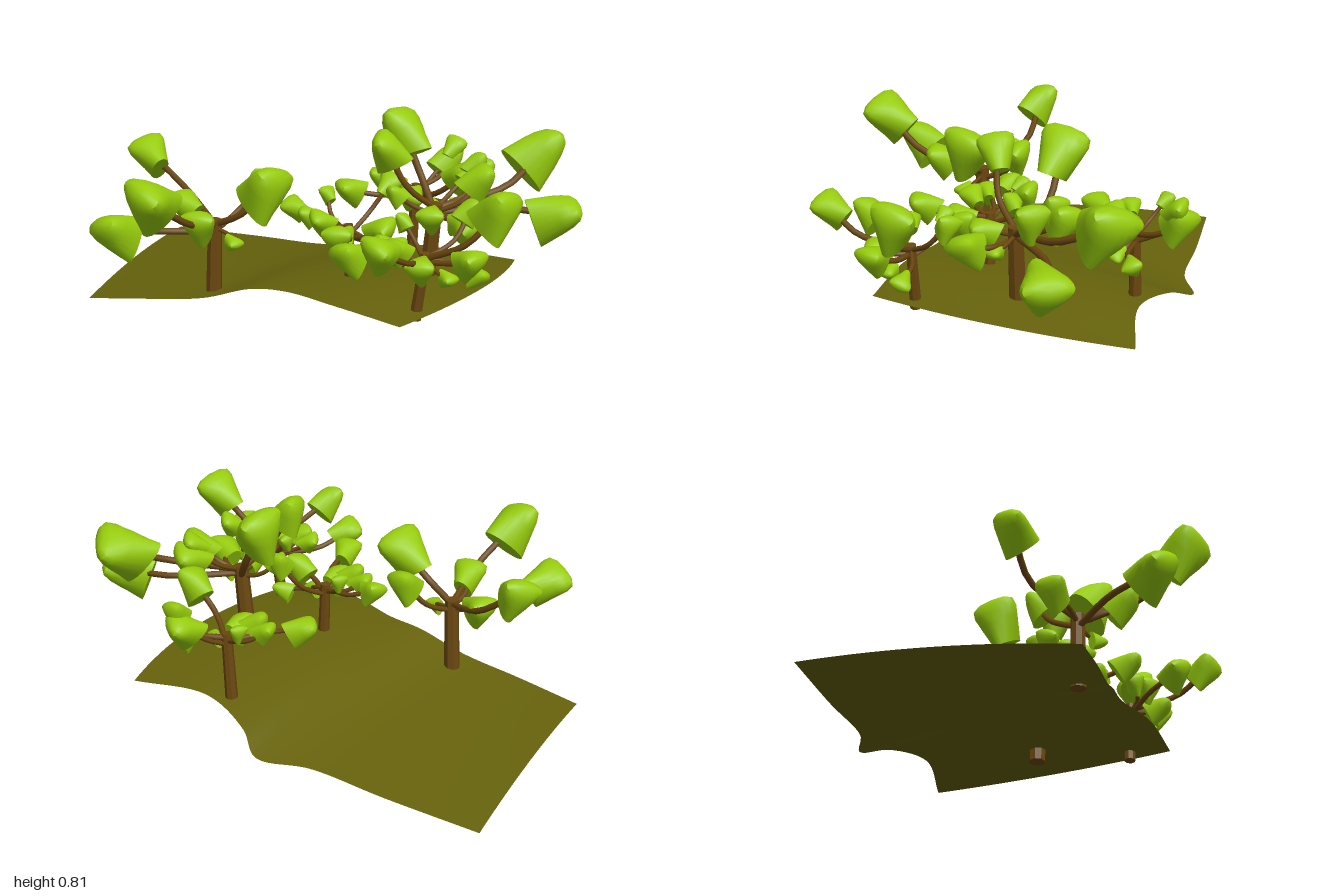
import * as THREE from 'three';
import { toCreasedNormals } from 'three/addons/utils/BufferGeometryUtils.js';

const V = (x, y, z) => new THREE.Vector3(x, y, z);
const UP = V(0, 1, 0);
const barkMat = new THREE.MeshStandardMaterial({ color: 0x6b4710 });
const barkFlat = new THREE.MeshStandardMaterial({ color: 0x6b4710, flatShading: true });
const leafMat = new THREE.MeshStandardMaterial({ color: 0x97cc0d });
const soilMat = new THREE.MeshStandardMaterial({ color: 0x66620c, side: THREE.DoubleSide });

function addMesh(parent, name, geometry, material) {
  const mesh = new THREE.Mesh(geometry, material);
  mesh.name = name;
  parent.add(mesh);
  return mesh;
}

// Thin hillside sheet between a back and a front edge, bulging up and to the right midway
function makeGround() {
  const back = new THREE.CatmullRomCurve3([V(-1, 0, -0.59), V(-0.6, 0.01, -0.62),
    V(-0.27, 0.02, -0.635), V(-0.07, 0.03, -0.71), V(0.05, 0.08, -0.64),
    V(0.3, 0.12, -0.57), V(0.63, 0.1, -0.63)]);
  const front = new THREE.CatmullRomCurve3([V(-0.82, 0.02, 0.4), V(-0.55, 0.06, 0.385),
    V(-0.3, 0.1, 0.36), V(-0.1, 0.165, 0.335), V(0.05, 0.18, 0.33),
    V(0.3, 0.185, 0.39), V(0.58, 0.16, 0.41)]);
  const geo = new THREE.PlaneGeometry(1, 1, 48, 20);
  const pos = geo.attributes.position;
  for (let i = 0; i < pos.count; i++) {
    const u = THREE.MathUtils.clamp(pos.getX(i) + 0.5, 0, 1);
    const v = 0.5 - pos.getY(i);
    const bulge = 4 * v * (1 - v);
    const p = back.getPoint(u).lerp(front.getPoint(u), v);
    pos.setXYZ(i, p.x + 0.085 * bulge * u ** 4, Math.max(p.y + 0.025 * bulge, 0), p.z);
  }
  geo.computeVertexNormals();
  return geo;
}

// Leaf clump: fans out sideways toward the domed end while thinning to a wedge the other way
function makeLeaf() {
  const profile = [[0, -0.5], [0.44, -0.5], [0.48, 0], [0.48, 0.22],
    [0.42, 0.38], [0.26, 0.47], [0, 0.5]].map((p) => new THREE.Vector2(...p));
  const geo = new THREE.LatheGeometry(profile, 20);
  const pos = geo.attributes.position;
  for (let i = 0; i < pos.count; i++) {
    const t = pos.getY(i) + 0.5;
    pos.setX(i, pos.getX(i) * (0.55 + 0.65 * t));
    pos.setZ(i, pos.getZ(i) * (1.2 - 0.75 * t));
  }
  return toCreasedNormals(geo, 0.8);
}

// Trunk foot, height, sideways lean, radius, number of small clumps; large clumps [x, y, z, size]
const trees = [
  { foot: [-0.315, 0.085, 0.25], height: 0.31, lean: 0.01, radius: 0.033, small: 1, large: [
    [-0.69, 0.58, 0.11, 0.16], [-0.47, 0.42, 0.2, 0.13], [-0.54, 0.41, 0.6, 0.18],
    [-0.33, 0.58, 0.67, 0.2], [-0.27, 0.43, 0.42, 0.14], [-0.2, 0.5, 0.07, 0.13],
    [-0.08, 0.55, 0.24, 0.2]] },
  { foot: [0.2, 0.185, 0.06], height: 0.21, lean: -0.01, radius: 0.024, small: 7, large: [
    [-0.05, 0.43, 0.06, 0.1], [0.27, 0.43, 0.31, 0.12], [0.36, 0.41, 0.11, 0.12]] },
  { foot: [0.445, 0.12, -0.13], height: 0.35, lean: 0.035, radius: 0.035, small: 4, large: [
    [0.75, 0.61, -0.54, 0.22], [0.9, 0.42, -0.36, 0.2], [0.28, 0.71, -0.25, 0.2],
    [0.32, 0.7, -0.01, 0.15], [0.62, 0.56, -0.23, 0.14], [0.67, 0.44, 0, 0.14],
    [0.57, 0.55, -0.34, 0.14]] },
  { foot: [0.565, 0.13, 0.24], height: 0.27, lean: 0.04, radius: 0.024, small: 7, large: [
    [0.87, 0.59, 0.2, 0.18], [0.81, 0.42, 0.31, 0.12], [0.4, 0.43, 0.48, 0.13],
    [0.57, 0.5, 0.57, 0.14]] },
  { foot: [0.2, 0.125, -0.53], height: 0.275, lean: 0.015, radius: 0.025, small: 7, large: [
    [0.28, 0.47, -0.71, 0.14], [0, 0.4, -0.33, 0.12], [0.47, 0.5, -0.42, 0.14]] },
];

// Small clumps spiral around the head of the trunk
function smallClump(top, i) {
  const angle = 0.4 + i * 2.4;
  const reach = 0.12 + 0.04 * (i % 3);
  return [top.x + reach * Math.cos(angle), top.y + 0.05 * ((i * 2) % 5) - 0.07,
    top.z + reach * Math.sin(angle), 0.07 + 0.015 * (i % 4)];
}

function makeTree({ foot, height, lean, radius, small, large }, leafGeo) {
  const tree = new THREE.Group();
  const base = V(...foot);
  const rise = V(lean, height, 0);
  const top = base.clone().add(rise);

  // Faceted, slightly leaning trunk
  const trunk = addMesh(tree, 'trunk',
    new THREE.CylinderGeometry(radius * 0.85, radius, rise.length(), 8), barkFlat);
  trunk.position.copy(base).lerp(top, 0.5);
  trunk.quaternion.setFromUnitVectors(UP, rise.normalize());

  const clumps = [...large];
  for (let i = 0; i < small; i++) clumps.push(smallClump(top, i));
  clumps.forEach(([x, y, z, size], i) => {
    const tip = V(x, y, z);
    const start = top.clone().setY(top.y - 0.02 - 0.015 * (i % 3));
    // Branch runs out sideways, then turns up into its clump
    const elbow = start.clone().lerp(tip, 0.6);
    elbow.y = THREE.MathUtils.lerp(start.y, y, 0.4);
    const bend = 0.12 * (i % 2 ? 1 : -1);
    elbow.x += bend * (z - start.z);
    elbow.z -= bend * (x - start.x);
    const curve = new THREE.CatmullRomCurve3([start, elbow, tip]);
    addMesh(tree, 'branch',
      new THREE.TubeGeometry(curve, 8, 0.006 + size * 0.04, 6), barkMat);

    // Clump points outward and up, with its broad side level
    const leaf = addMesh(tree, 'leafClump', leafGeo, leafMat);
    const axis = tip.clone().sub(start).normalize().add(V(0, 0.4, 0)).normalize();
    const side = UP.clone().cross(axis).normalize();
    leaf.position.copy(tip);
    leaf.quaternion.setFromRotationMatrix(
      new THREE.Matrix4().makeBasis(side, axis, side.clone().cross(axis)));
    leaf.rotateY(0.4 * ((i % 3) - 1));
    leaf.scale.setScalar(size);
  });
  return tree;
}

export function createModel() {
  const model = new THREE.Group();
  model.name = 'hillsideGrove';
  addMesh(model, 'ground', makeGround(), soilMat);
  const leafGeo = makeLeaf();
  trees.forEach((spec, i) => {
    const tree = makeTree(spec, leafGeo);
    tree.name = `tree${i + 1}`;
    model.add(tree);
  });
  return model;
}
